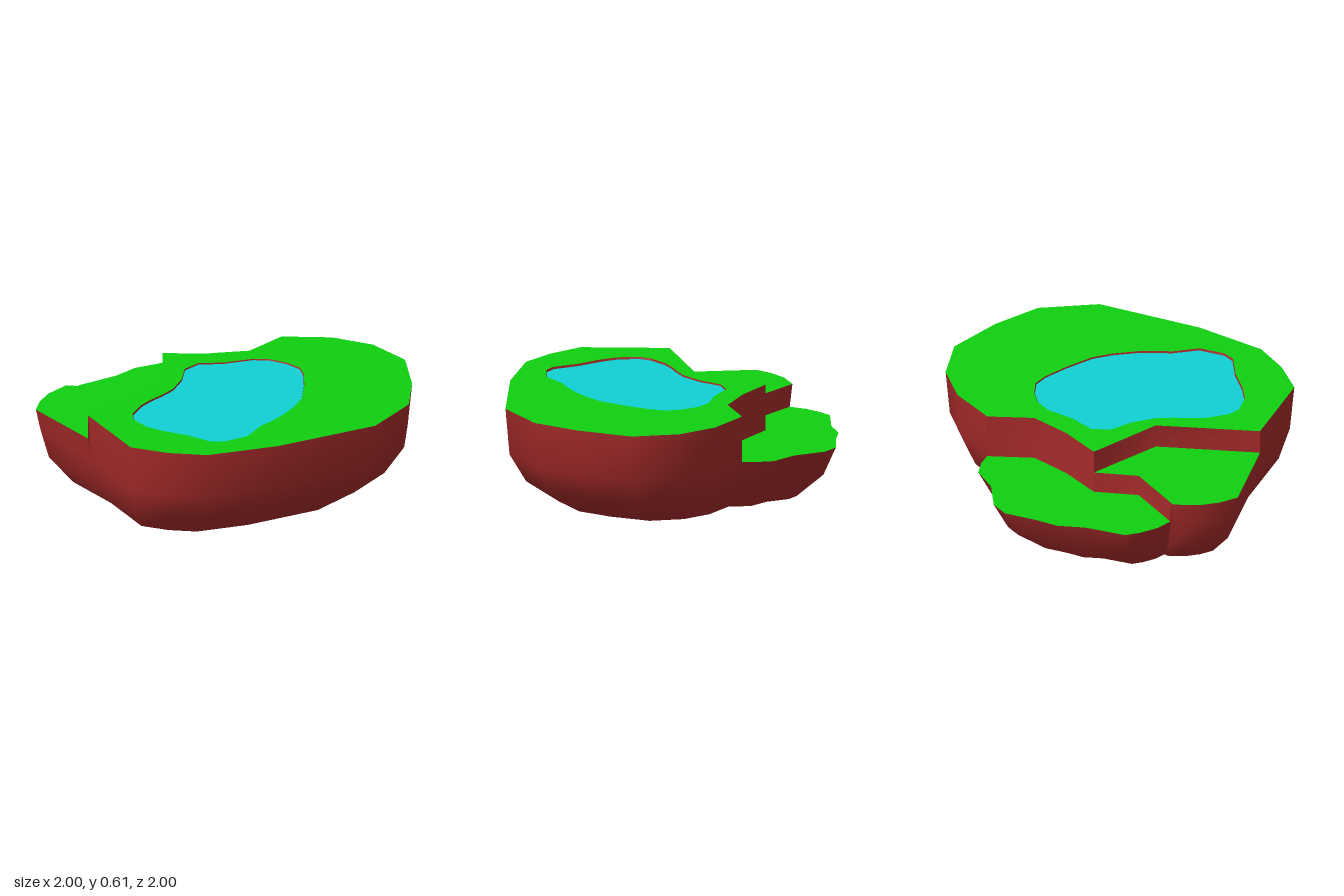
import * as THREE from 'three';
import { mergeGeometries, mergeVertices } from 'three/addons/utils/BufferGeometryUtils.js';

const MID = 0.46, LOW = 0.33;
const topY = ([x, z]) => 0.602 - 0.004 * x + 0.003 * z; // the upper ground tilts very slightly

// Outer rims as [x, z], running counterclockwise seen from above
const mainRim = [[-0.89, -0.19], [-1, 0.31], [-0.89, 0.51], [-0.74, 0.68], [-0.35, 0.85], [0.26, 1],
  [0.6, 0.9], [0.81, 0.69], [1, 0.41], [1, 0.13], [0.89, -0.1], [0.68, -0.3]];
const lowRim = [[0.68, -0.3], [0.7, -0.38], [0.7, -0.48], [0.6, -0.62], [0.55, -0.81], [0.47, -0.89],
  [0.28, -0.93], [0.15, -0.97], [-0.01, -0.96], [-0.25, -1], [-0.33, -0.96], [-0.42, -0.89], [-0.48, -0.81]];
const midRim = [[-0.48, -0.81], [-0.5, -0.83], [-0.65, -0.81], [-0.76, -0.76], [-0.85, -0.69],
  [-0.87, -0.45], [-0.89, -0.19]];

// Lines along which the ground steps down
const mainToLow = [[0.68, -0.3], [0.41, -0.27], [0.2, -0.4], [0.01, -0.57]];
const mainToMid = [[0.01, -0.57], [-0.29, -0.23], [-0.89, -0.19]];
const midToLow = [[0.01, -0.57], [-0.25, -0.56], [-0.48, -0.81]];

const lake = [[-0.68, -0.04], [-0.56, -0.1], [-0.47, -0.12], [-0.38, -0.13], [-0.28, -0.15], [-0.15, -0.22],
  [-0.04, -0.32], [0.07, -0.33], [0.19, -0.24], [0.35, -0.17], [0.42, -0.1], [0.46, 0], [0.47, 0.1],
  [0.43, 0.18], [0.33, 0.3], [0.2, 0.43], [0.09, 0.49], [-0.05, 0.54], [-0.15, 0.56], [-0.24, 0.57],
  [-0.39, 0.63], [-0.54, 0.6], [-0.6, 0.55], [-0.64, 0.4], [-0.71, 0.25], [-0.74, 0.15], [-0.73, 0.02]];

const material = (color) => new THREE.MeshStandardMaterial({ color, side: THREE.DoubleSide });

// Surface through rows of [x, y, z] points
function loft(rows) {
  const n = rows[0].length, index = [];
  for (let r = 0; r < rows.length - 1; r++) {
    for (let i = 0; i < n - 1; i++) {
      const a = r * n + i, b = a + 1, c = a + n, d = c + 1;
      index.push(a, b, d, a, d, c);
    }
  }
  const g = new THREE.BufferGeometry();
  g.setAttribute('position', new THREE.Float32BufferAttribute(rows.flat(2), 3));
  g.setIndex(index);
  return g;
}

// Flat ground with an optional hole; height is a number or a rule
function ground(outline, height, hole) {
  const vectors = (pts) => pts.map(([x, z]) => new THREE.Vector2(x, -z));
  const shape = new THREE.Shape(vectors(outline));
  if (hole) shape.holes.push(new THREE.Path(vectors(hole)));
  const g = new THREE.ShapeGeometry(shape).rotateX(-Math.PI / 2);
  const p = g.attributes.position;
  for (let i = 0; i < p.count; i++) {
    p.setY(i, typeof height === 'number' ? height : height([p.getX(i), p.getZ(i)]));
  }
  g.computeVertexNormals();
  return g;
}

// Outer cliff below one rim, tapering to the open foot
function cliff(rim, top) {
  const ring = (k, dx, dz, y) => rim.map(([x, z]) => [k * x + dx, y, k * z + dz]);
  const onLow = ([x, z]) => lowRim.some((q) => q[0] === x && q[1] === z);
  const rows = [ring(0.72, -0.07, -0.06, 0), ring(0.9, -0.02, -0.03, 0.155),
    rim.map((p) => { const k = onLow(p) ? 1 : 0.975; return [p[0] * k, LOW, p[1] * k]; })];
  if (top) rows.push(rim.map((p) => [p[0], top(p), p[1]]));
  return loft(rows);
}

// Upright wall along a step in the ground
const step = (line, low, top) => loft([
  line.map(([x, z]) => [x, low, z]), line.map((p) => [p[0], top(p), p[1]])]);

export function createModel() {
  const model = new THREE.Group();
  const rock = material(0xa52a2a), grass = material(0x10d010), waterBlue = material(0x10d0d4);
  const add = (name, geometry, mat) => {
    const mesh = new THREE.Mesh(geometry, mat);
    mesh.name = name;
    model.add(mesh);
  };
  const mid = () => MID;

  // Outer cliffs, welded for smooth shading
  const cliffs = mergeVertices(mergeGeometries([cliff(mainRim, topY), cliff(lowRim), cliff(midRim, mid)]));
  cliffs.computeVertexNormals();
  add('outerCliff', cliffs, rock);

  // Step walls between the terraces
  const steps = [['upperToLowStep', mainToLow, LOW, topY], ['upperToMiddleStep', mainToMid, MID, topY],
    ['middleToLowStep', midToLow, LOW, mid]];
  for (const [name, line, low, top] of steps) {
    const g = step(line, low, top);
    g.computeVertexNormals();
    add(name, g, rock);
  }

  // Grass on the three levels
  add('upperGround', ground([...mainRim, ...mainToLow.slice(1), ...mainToMid.slice(1, -1)], topY, lake), grass);
  add('middleTerrace', ground([...midRim, mainToMid[1], ...midToLow.slice(0, 2)], MID), grass);
  add('lowTerrace', ground([...lowRim, midToLow[1], ...mainToLow.slice(1).reverse()], LOW), grass);

  // Lake basin hanging under the ground, and its water
  const floor = lake.map(([x, z]) => [-0.13 + (x + 0.13) * 0.87, 0.13 + (z - 0.13) * 0.87]);
  const closed = (pts, y) => [...pts, pts[0]].map((p) => [p[0], y(p), p[1]]);
  const basinWall = loft([closed(floor, () => 0.37), closed(lake, topY)]);
  basinWall.computeVertexNormals();
  add('basinWall', basinWall, rock);
  add('basinFloor', ground(floor, 0.37), rock);
  add('water', ground(lake.map(([x, z]) => [-0.13 + (x + 0.13) * 0.993, 0.13 + (z - 0.13) * 0.993]), 0.593), waterBlue);

  return model;
}
